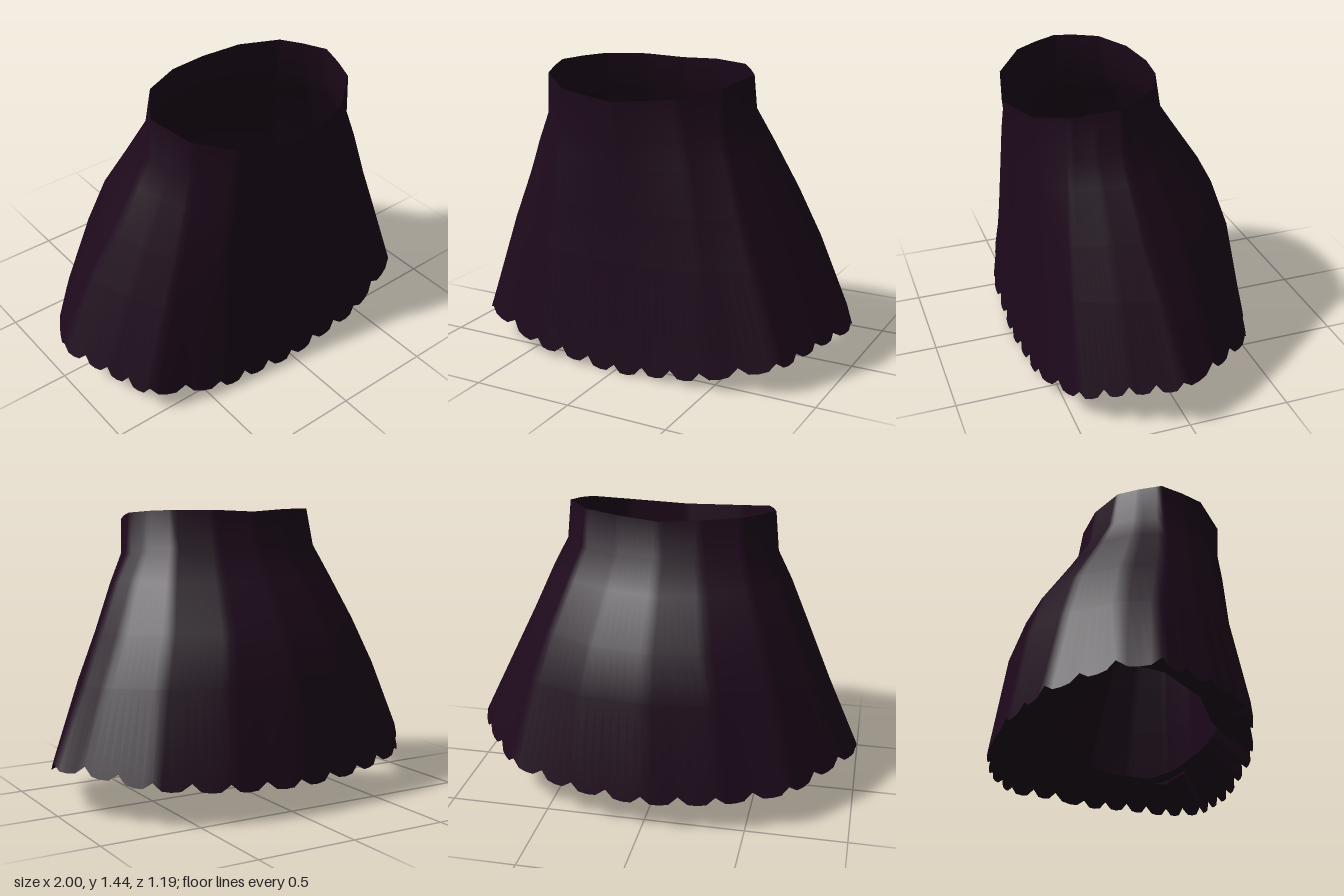
import * as THREE from 'three';
import { toCreasedNormals } from 'three/addons/utils/BufferGeometryUtils.js';

// Half outlines from front centre, round the left side seam, to back centre
const WAIST_TOP = [[0, 1.325, .585], [.3, 1.352, .52], [.468, 1.395, .385], [.5, 1.415, .28], [.525, 1.43, .17],
  [.46, 1.44, .07], [.39, 1.445, -.025], [.2, 1.445, -.11], [0, 1.435, -.14]];
const WAIST_LOW = [[0, 1.15, .57], [.32, 1.18, .505], [.47, 1.2, .392], [.52, 1.22, .285], [.545, 1.23, .17],
  [.49, 1.25, .05], [.4, 1.26, -.06], [.2, 1.26, -.14], [0, 1.26, -.17]];
const SEAT = [[0, 1.0, .565], [.35, 1.03, .515], [.515, 1.06, .41], [.58, 1.08, .285], [.618, 1.09, .16],
  [.57, 1.1, .02], [.455, 1.1, -.135], [.23, 1.1, -.235], [0, 1.1, -.275]];
const HIP = [[0, .8, .562], [.38, .81, .525], [.585, .82, .428], [.67, .84, .28], [.725, .85, .13],
  [.675, .86, -.055], [.532, .87, -.25], [.275, .87, -.385], [0, .87, -.43]];
const THIGH = [[0, .55, .562], [.41, .56, .538], [.665, .58, .447], [.77, .6, .275], [.835, .61, .08],
  [.78, .62, -.1], [.605, .63, -.315], [.32, .64, -.46], [0, .65, -.51]];
const HEM = [[0, .04, .59], [.45, .085, .575], [.8, .175, .475], [.905, .225, .27], [1, .26, .04],
  [.915, .27, -.14], [.7, .225, -.41], [.36, .2, -.54], [0, .19, -.588]];
// Rim of the leg openings, meeting the strap at front and back centre
const LEG_RIM = [[0, .18, .43], [.34, .23, .46], [.465, .205, .395], [.62, .26, .3], [.7, .33, .12],
  [.68, .375, -.05], [.55, .355, -.2], [.25, .25, -.28], [0, .18, -.33]];

// Scallops in each outline segment, and columns in each scallop
const LOBES = [3, 2, 2, 2, 1, 2, 2, 2];
const STEPS = 4;

// Subdivide a half outline, optionally scalloping it, then mirror it into a closed ring
function ring(points, scallop = 0) {
  const half = [];
  LOBES.forEach((lobes, s) => {
    const a = new THREE.Vector3(...points[s]);
    const b = new THREE.Vector3(...points[s + 1]);
    for (let i = 0; i < lobes * STEPS; i++) {
      const p = a.clone().lerp(b, i / (lobes * STEPS));
      const bump = Math.min(1, 1.25 * Math.sin(Math.PI * (i % STEPS) / STEPS));
      const out = new THREE.Vector3(p.x, 0, p.z).normalize();
      p.addScaledVector(out, scallop * 0.3 * bump);
      p.y -= scallop * bump;
      half.push(p);
    }
  });
  half.push(new THREE.Vector3(...points[points.length - 1]));
  const mirrored = half.slice(0, -1).reverse().map(p => new THREE.Vector3(-p.x, p.y, p.z));
  return [...half, ...mirrored];
}

// Skin a sheet through rows of equal length
function loft(rows) {
  const n = rows[0].length;
  const index = [];
  for (let r = 0; r < rows.length - 1; r++) {
    for (let i = 0; i < n - 1; i++) {
      const a = r * n + i, b = a + n;
      index.push(a, b, b + 1, a, b + 1, a + 1);
    }
  }
  const geometry = new THREE.BufferGeometry().setFromPoints(rows.flat());
  geometry.setIndex(index);
  return toCreasedNormals(geometry, 1.1);
}

// Strap rows, front to back: edge x, y, z, then centre y, z
const STRAP = [
  [.16, .21, .455, .19, .445], [.12, .165, .4, .15, .405], [.075, .1, .31, .085, .315], [.055, .055, .2, .047, .215],
  [.055, .068, 0, .058, 0], [.06, .11, -.14, .085, -.14], [.1, .17, -.25, .145, -.26], [.16, .235, -.305, .185, -.34],
];

function strapRow([x, y, z, cy, cz]) {
  const row = [];
  for (let i = -4; i <= 4; i++) {
    const t = i / 4, k = t * t;
    row.push(new THREE.Vector3(x * t, cy + (y - cy) * k, cz + (z - cz) * k));
  }
  return row;
}

export function createModel() {
  const group = new THREE.Group();
  const plum = new THREE.MeshStandardMaterial({ color: 0x1d091b, side: THREE.DoubleSide });
  plum.name = 'dark plum cloth';

  const add = (name, rows) => {
    const mesh = new THREE.Mesh(loft(rows), plum);
    mesh.name = name;
    group.add(mesh);
  };

  // Fitted waist flaring to a scalloped hem
  const hem = ring(HEM, 0.04);
  add('skirt', [ring(WAIST_TOP), ring(WAIST_LOW), ring(SEAT), ring(HIP), ring(THIGH), hem]);
  // Underside from the hem in to the leg openings
  add('lining', [hem, ring(LEG_RIM)]);
  // Strap between the leg openings
  add('strap', STRAP.map(strapRow));

  return group;
}
